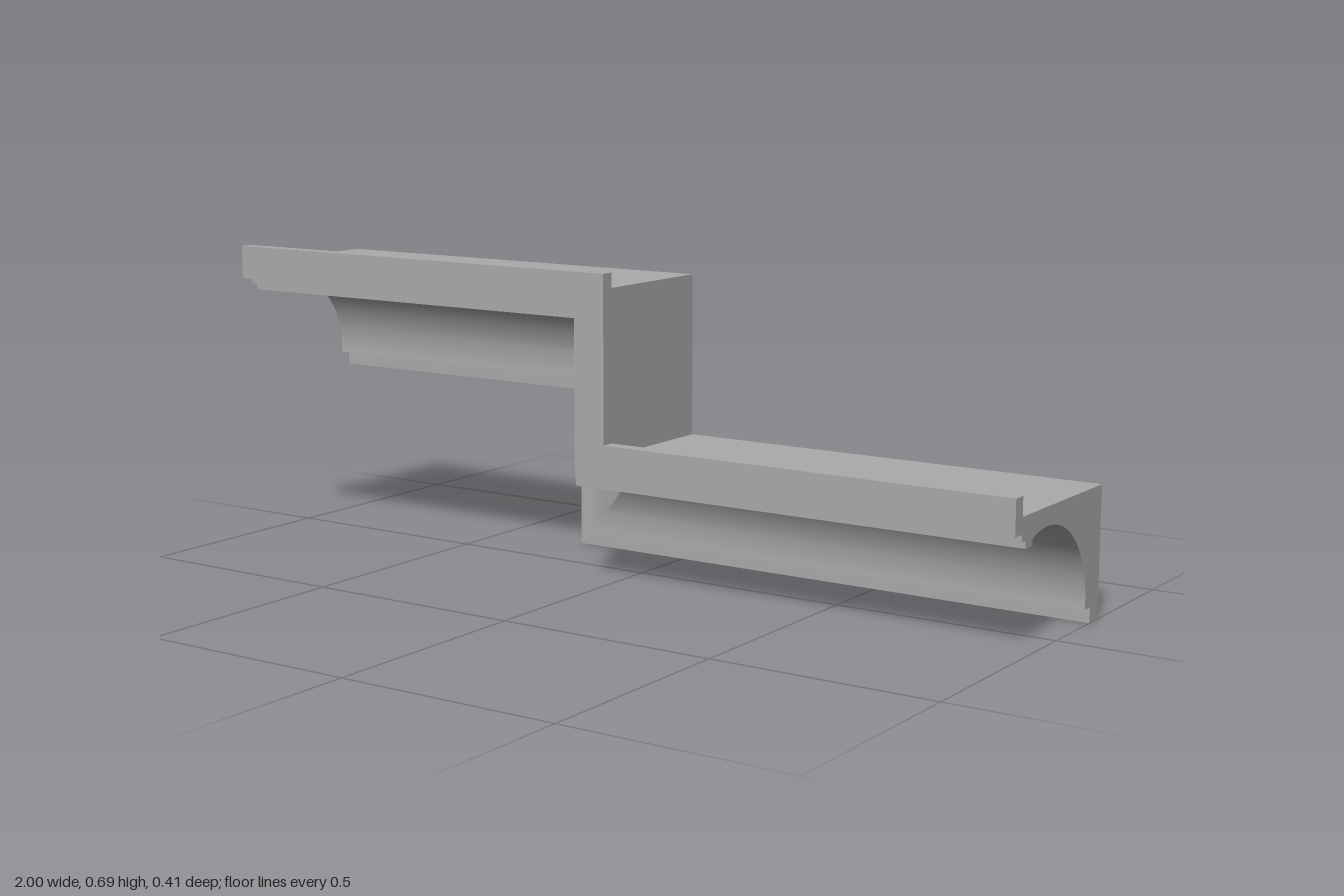
import * as THREE from 'three';
import { toCreasedNormals } from 'three/addons/utils/BufferGeometryUtils.js';

const RISE = 0.367; // height of the step between the two runs
const STEP_X = -0.284; // x of the upright's lower edge

// Moulding cross-section as [z, h], going up the back and over to the front
function mouldingProfile() {
  const points = [
    [-0.203, 0], [-0.203, 0.284], [0.173, 0.284], [0.173, 0.325],
    [0.204, 0.325], [0.204, 0.249], [0.173, 0.249], [0.173, 0.234],
    [0.157, 0.234], [0.157, 0.218], [0.126, 0.218],
  ];
  // Cove
  const cz = 0.058, ch = 0.0485, r = 0.196, steps = 32;
  const start = Math.acos((0.126 - cz) / r);
  const end = Math.PI + Math.asin((ch - 0.033) / r);
  for (let i = 0; i <= steps; i++) {
    const a = start + (end - start) * i / steps;
    points.push([cz + r * Math.cos(a), ch + r * Math.sin(a)]);
  }
  points.push([-0.163, 0.033], [-0.163, 0]);
  return points;
}

// Mitred sweep: upper run, upright, lower run
function sweepGeometry(profile) {
  const stations = [
    ([z, h]) => [-1, h + RISE, z],
    ([z, h]) => [STEP_X + h, h + RISE, z],
    ([z, h]) => [STEP_X + h, h, z],
    ([z, h]) => [1, h, z],
  ];
  const n = profile.length;
  const positions = stations.flatMap((place) => profile.flatMap(place));
  const index = [];
  for (let s = 0; s < stations.length - 1; s++) {
    for (let i = 0; i < n; i++) {
      const j = (i + 1) % n;
      const a = s * n + i, b = s * n + j, c = b + n, d = a + n;
      index.push(a, b, c, a, c, d);
    }
  }
  // End caps
  const outline = profile.map(([z, h]) => new THREE.Vector2(z, h));
  const last = (stations.length - 1) * n;
  for (const tri of THREE.ShapeUtils.triangulateShape(outline, [])) {
    const ccw = THREE.ShapeUtils.area(tri.map((i) => outline[i])) > 0;
    const [a, b, c] = ccw ? tri : [tri[0], tri[2], tri[1]];
    index.push(a, b, c, last + a, last + c, last + b);
  }
  const geometry = new THREE.BufferGeometry();
  geometry.setAttribute('position', new THREE.Float32BufferAttribute(positions, 3));
  geometry.setIndex(index);
  return toCreasedNormals(geometry, 0.35);
}

export function createModel() {
  const plaster = new THREE.MeshStandardMaterial({ color: 0xaaaaaa });
  plaster.name = 'grey plaster';
  const cornice = new THREE.Mesh(sweepGeometry(mouldingProfile()), plaster);
  cornice.name = 'steppedCornice';
  const model = new THREE.Group();
  model.name = 'steppedMoulding';
  model.add(cornice);
  return model;
}
